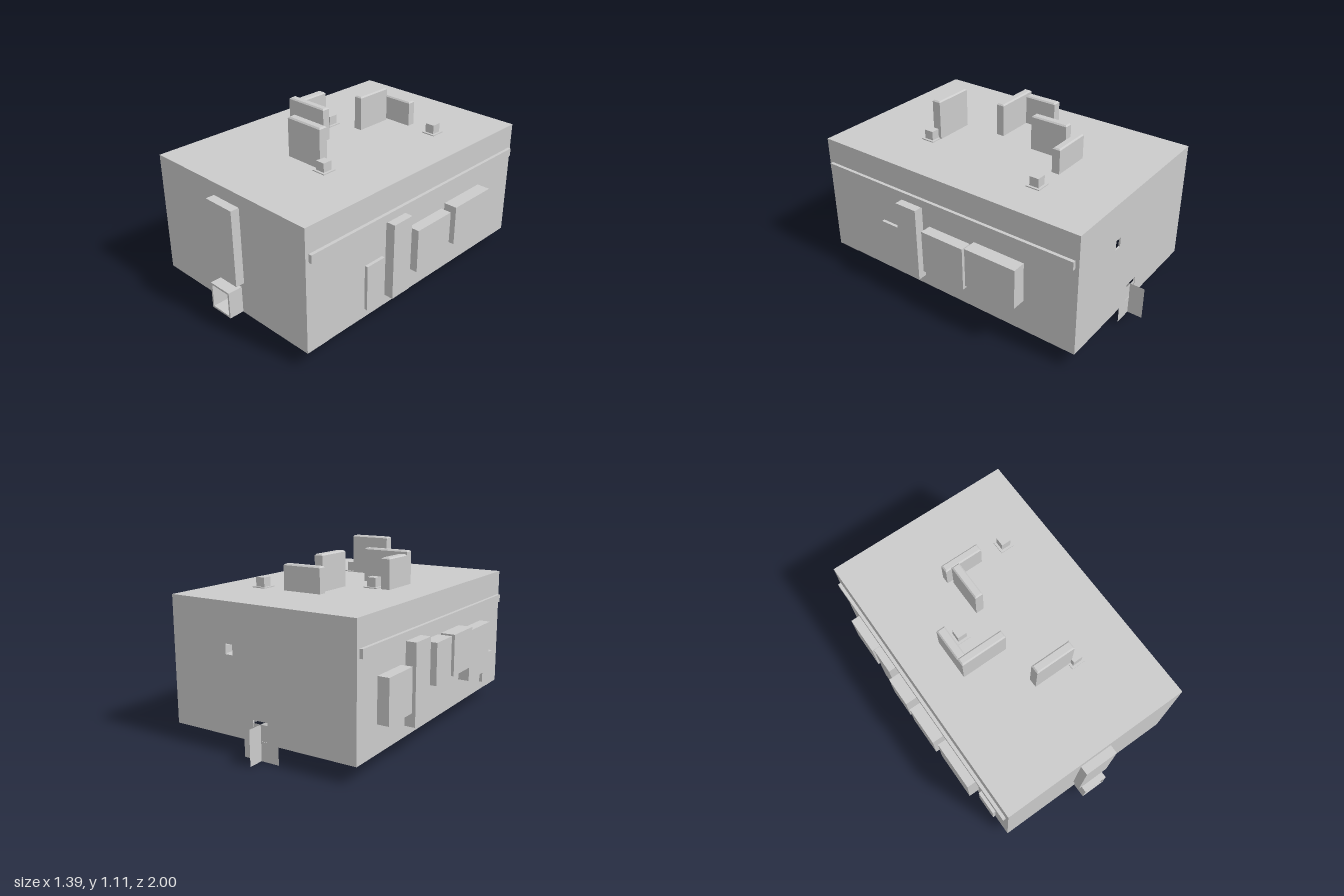
import * as THREE from 'three';

const BASE = 0.105, TOP = 0.865, HX = 0.61, HZ = 0.908, T = 0.01;
const grey = new THREE.MeshStandardMaterial({ color: 0xcccccc, flatShading: true });
const greyThin = new THREE.MeshStandardMaterial({ color: 0xcccccc, flatShading: true, side: THREE.DoubleSide });

// Box given by its two opposite corners
function box(parent, name, x0, x1, y0, y1, z0, z1) {
  const m = new THREE.Mesh(new THREE.BoxGeometry(x1 - x0, y1 - y0, z1 - z0), grey);
  m.position.set((x0 + x1) / 2, (y0 + y1) / 2, (z0 + z1) / 2);
  m.name = name;
  parent.add(m);
  return m;
}

// Flat plate with rectangular holes, extruded along +z
function plate(parent, name, [u0, u1, v0, v1], holes, z0, depth) {
  const trace = (p, a, b, c, d) => p.moveTo(a, c).lineTo(b, c).lineTo(b, d).lineTo(a, d).lineTo(a, c);
  const shape = trace(new THREE.Shape(), u0, u1, v0, v1);
  holes.forEach(h => shape.holes.push(trace(new THREE.Path(), ...h)));
  const m = new THREE.Mesh(new THREE.ExtrudeGeometry(shape, { depth, bevelEnabled: false }), grey);
  m.position.z = z0;
  m.name = name;
  parent.add(m);
}

// Niche: a hollow case behind a wall opening, closed outside, with shelves
function niche(wall, { r: [u0, u1, v0, v1], d, shelves = 0 }) {
  const g = new THREE.Group();
  g.name = 'niche';
  const e = 0.008;
  plate(g, 'nicheSides', [u0, u1, v0, v1], [[u0 + e, u1 - e, v0 + e, v1 - e]], 0, d - 0.004);
  box(g, 'nicheBack', u0, u1, v0, v1, d - 0.004, d);
  for (let i = 1; i <= shelves; i++) {
    const v = v0 + (v1 - v0) * i / (shelves + 1);
    box(g, 'shelf', u0 + e, u1 - e, v - 0.004, v + 0.004, -0.005, d - 0.004);
  }
  wall.add(g);
}

// Wall in its own frame: u to the right seen from outside, +z outward
function wall(root, name, half, dist, angle, niches, openings = []) {
  const pivot = new THREE.Group();
  const g = new THREE.Group();
  pivot.name = name;
  pivot.rotation.y = angle;
  g.position.z = dist;
  pivot.add(g);
  root.add(pivot);
  const holes = niches.map(({ r }) => [r[0] + 0.008, r[1] - 0.008, r[2] + 0.008, r[3] - 0.008]);
  plate(g, 'wallPanel', [-half, half, BASE, TOP - T], holes.concat(openings), -T, T);
  niches.forEach(n => niche(g, n));
  return g;
}

export function createModel() {
  const root = new THREE.Group();
  root.name = 'room';

  // Roof and the strip of floor at the front
  box(root, 'roof', -HX, HX, TOP - T, TOP, -HZ, HZ);
  box(root, 'frontFloorStrip', -HX, HX, BASE - 0.002, BASE + 0.006, 0.75, HZ);

  // Side walls with cases and a long rail
  const left = wall(root, 'leftWall', HZ, HX, Math.PI / 2, [
    { r: [-0.47, -0.33, 0.16, 0.445], d: 0.02 },
    { r: [-0.30, -0.15, 0.17, 0.65], d: 0.06, shelves: 5 },
    { r: [-0.10, 0.20, 0.26, 0.535], d: 0.07, shelves: 2 },
    { r: [0.23, 0.57, 0.31, 0.56], d: 0.085, shelves: 2 },
  ]);
  const right = wall(root, 'rightWall', HZ, HX, -Math.PI / 2, [
    { r: [-0.71, -0.46, 0.27, 0.53], d: 0.07, shelves: 2 },
    { r: [-0.41, -0.24, 0.17, 0.65], d: 0.065, shelves: 5 },
    { r: [-0.21, -0.02, 0.36, 0.61], d: 0.09, shelves: 3 },
    { r: [0.02, 0.27, 0.36, 0.61], d: 0.09, shelves: 3 },
    { r: [0.29, 0.60, 0.26, 0.58], d: 0.07, shelves: 3 },
    { r: [0.63, 0.78, 0.16, 0.345], d: 0.02 },
  ]);
  [left, right].forEach(w => box(w, 'rail', -0.885, 0.885, 0.66, 0.71, 0, 0.02));

  // Front wall with a tall case and a hollow hatch below it
  const front = wall(root, 'frontWall', HX - T, HZ, 0,
    [{ r: [-0.108, 0.105, 0.31, 0.785], d: 0.055, shelves: 14 }],
    [[-0.07, 0.07, 0.118, 0.258]]);
  plate(front, 'hatchFrame', [-0.08, 0.08, BASE, 0.272], [[-0.068, 0.068, 0.117, 0.26]], 0, 1 - HZ);
  box(front, 'hatchBar', -0.05, 0.05, 0.222, 0.255, -0.01, 0);

  // Back wall with a small square window and a low doorway
  wall(root, 'backWall', HX - T, HZ, Math.PI, [],
    [[-0.228, -0.18, 0.57, 0.63], [-0.05, 0.05, 0.115, 0.228]]);

  // Two crossed thin sheets standing in the doorway
  [0, Math.PI / 2].forEach(a => {
    const m = new THREE.Mesh(new THREE.PlaneGeometry(a ? 0.19 : 0.235, 0.21), greyThin);
    m.position.set(0, 0.105, -0.905);
    m.rotation.y = a;
    m.name = 'crossedSheet';
    root.add(m);
  });

  // Upright slabs on the roof: x0, x1, z0, z1, top
  [
    [-0.10, 0.15, -0.48, -0.43, 1.02],
    [-0.07, -0.018, -0.41, -0.17, 1.08],
    [-0.355, -0.30, -0.145, 0.065, 1.05],
    [-0.355, -0.06, 0.065, 0.115, 1.07],
    [-0.055, 0.20, 0.345, 0.40, 1.11],
  ].forEach(([x0, x1, z0, z1, top]) => {
    const c = 0.008, dx = (x1 - x0) / 2, dz = (z1 - z0) / 2;
    const slab = box(root, 'roofSlab', x0, x1, TOP, top - c, z0, z1);
    // Cap narrowing toward its top edge
    const cap = box(root, 'roofSlabCap', x0, x1, top - c, top, z0, z1);
    const p = cap.geometry.attributes.position;
    for (let i = 0; i < p.count; i++) {
      if (p.getY(i) > 0) p.setXYZ(i, Math.sign(p.getX(i)) * (dx - c), c / 2, Math.sign(p.getZ(i)) * (dz - c));
    }
    cap.geometry.computeVertexNormals();
    slab.add();
  });

  // Small cubes on base plates
  [[0.325, -0.45], [-0.23, -0.11], [0.225, 0.395]].forEach(([x, z]) => {
    box(root, 'roofCube', x - 0.03, x + 0.03, TOP, 0.927, z - 0.03, z + 0.03);
    box(root, 'roofCubeBase', x - 0.045, x + 0.045, TOP, TOP + 0.006, z - 0.045, z + 0.045);
  });

  // Hollow stands inside, open underneath
  [[0.43, -0.2], [0.31, 0.11], [0.28, -0.62], [0.2, -0.37], [-0.27, -0.47], [-0.23, 0.07]].forEach(([x, z]) => {
    const s = new THREE.Group();
    s.name = 'stand';
    plate(s, 'standSides', [-0.05, 0.05, -0.05, 0.05], [[-0.042, 0.042, -0.042, 0.042]], 0, 0.1);
    box(s, 'standTop', -0.05, 0.05, -0.05, 0.05, 0.1, 0.106);
    s.rotation.x = -Math.PI / 2;
    s.position.set(x, BASE + 0.005, z);
    root.add(s);
  });

  return root;
}
